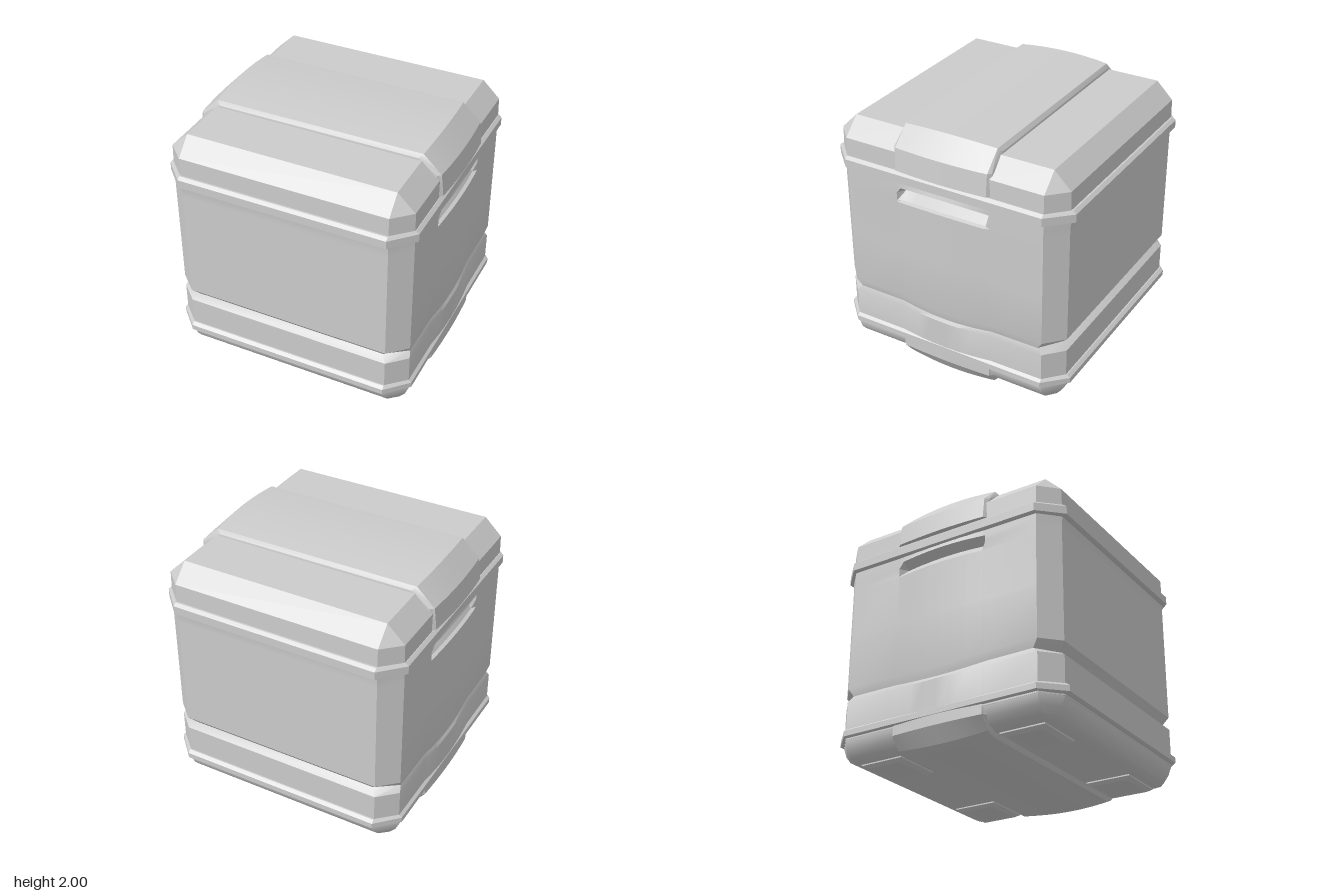
import * as THREE from 'three';
import { toCreasedNormals } from 'three/addons/utils/BufferGeometryUtils.js';

const grey = new THREE.MeshStandardMaterial({ color: 0xcccccc });
grey.name = 'grey plastic';

// Skin closed rings of equal length (counter-clockwise seen from the end of the loft), with both ends capped.
function loft(name, rings, crease = 0.5) {
  const pos = [];
  const v = rings.map(r => r.map(p => new THREE.Vector3(...p)));
  const tri = (a, b, c) => {
    const n = b.clone().sub(a).cross(c.clone().sub(a));
    if (n.length() > 1e-9) for (const p of [a, b, c]) pos.push(p.x, p.y, p.z);
  };
  const count = v[0].length;
  const centre = r => r.reduce((s, p) => s.add(p), new THREE.Vector3()).divideScalar(count);
  const first = v[0], last = v[v.length - 1];
  const c0 = centre(first), c1 = centre(last);
  for (let i = 0; i < count; i++) {
    const j = (i + 1) % count;
    for (let k = 0; k + 1 < v.length; k++) {
      tri(v[k][i], v[k][j], v[k + 1][j]);
      tri(v[k][i], v[k + 1][j], v[k + 1][i]);
    }
    tri(c0, first[j], first[i]);
    tri(c1, last[i], last[j]);
  }
  const g = new THREE.BufferGeometry();
  g.setAttribute('position', new THREE.Float32BufferAttribute(pos, 3));
  const mesh = new THREE.Mesh(toCreasedNormals(g, crease), grey);
  mesh.name = name;
  return mesh;
}

const swell = z => Math.max(0, 1 - (z / 0.4) ** 2);
const SIDE_Z = [0.385, 0.345, 0.23, 0.115, 0, -0.115, -0.23, -0.345, -0.385];

// Octagonal ring: half width a, half depth b, side bulge, handle dent, side arch and corner position.
function ring(y, a, b, { bulge = 0, dent = 0, arch = 0, corner = 0.81 } = {}) {
  const half = [[corner, y, b], [a, y, corner]];
  for (const z of SIDE_Z) {
    const inset = Math.abs(z) < 0.36 ? dent : 0;
    half.push([a + bulge * swell(z) - inset, y + arch * swell(z), z]);
  }
  half.push([a, y, -corner], [corner, y, -b]);
  return [...half, ...half.map(([x, h, z]) => [-x, h, -z])];
}

// Band running across the box: a profile in x and y, swollen towards the middle and bevelled at both edges.
function band(name, profile, drop, rise, sideSwell) {
  const stations = [[-0.405, 0.06], [-0.4, 0.025], [-0.375, 0]];
  for (let i = -3; i <= 3; i++) stations.push([i * 0.1, 0]);
  stations.push([0.375, 0], [0.4, 0.025], [0.405, 0.06]);
  return loft(name, stations.map(([z, inset]) => profile.map(([x, y, w]) => [
    x + Math.sign(x) * (sideSwell * swell(z) - inset),
    y + w * (rise * swell(z) + drop * inset), z])));
}

export function createModel() {
  const model = new THREE.Group();
  const b = 0.02;

  // Main tub with a groove near the foot and a hand recess in each side
  model.add(loft('tub', [
    ring(0.2, 0.95, 0.94, { bulge: b }),
    ring(0.5, 0.95, 0.94, { bulge: b, arch: -0.01 }),
    ring(0.54, 0.935, 0.89, { bulge: b, arch: -0.025, corner: 0.77 }),
    ring(0.6, 0.95, 0.94, { bulge: b, arch: -0.02 }),
    ring(1.0, 0.95, 0.94, { bulge: b }),
    ring(1.41, 0.95, 0.94, { bulge: b, arch: 0.01 }),
    ring(1.42, 0.95, 0.94, { bulge: b, dent: 0.025, arch: 0.01 }),
    ring(1.485, 0.95, 0.94, { bulge: b, dent: 0.07, arch: 0.013 }),
    ring(1.53, 0.95, 0.94, { bulge: b, arch: 0.015 }),
    ring(1.6, 0.95, 0.95),
  ]));

  // Raised rims around the bottom and under the lid
  const rim = (name, y0, y1, a, d) => loft(name, [
    ring(y0, a - 0.03, d - 0.03), ring(y0 + 0.012, a, d),
    ring(y1 - 0.02, a, d), ring(y1, a - 0.025, d - 0.025),
  ]);
  model.add(rim('bottomRim', 0.21, 0.285, 0.973, 0.975));
  model.add(rim('lidRim', 1.575, 1.67, 0.978, 0.982));

  // Lid with sloping edges
  model.add(loft('lid', [
    ring(1.62, 0.95, 0.945), ring(1.81, 0.945, 0.94), ring(1.94, 0.81, 0.81),
  ]));

  // Broad strap-like ridge over the lid
  model.add(band('lidRidge', [
    [0.97, 1.68, 0], [0.95, 1.85, 0], [0.81, 1.98, 1],
    [-0.81, 1.98, 1], [-0.95, 1.85, 0], [-0.97, 1.68, 0],
  ], -1, 0.02, 0.02));

  // Rounded base
  model.add(loft('base', [
    ring(0.05, 0.81, 0.81, { corner: 0.8 }), ring(0.08, 0.88, 0.87),
    ring(0.13, 0.925, 0.91), ring(0.19, 0.948, 0.935), ring(0.23, 0.95, 0.94),
  ], 0.65));

  // Broad ridge under the base
  model.add(band('baseRidge', [
    [-0.955, 0.215, 0], [-0.955, 0.14, 0], [-0.88, 0.05, 1], [-0.8, 0.025, 1],
    [0.8, 0.025, 1], [0.88, 0.05, 1], [0.955, 0.14, 0], [0.955, 0.215, 0],
  ], 1, -0.025, 0.015));

  // Four hollowed feet
  const rect = (cx, cz, y, w, d) => [[1, 1], [1, -1], [-1, -1], [-1, 1]]
    .map(([i, j]) => [cx + i * w, y, cz + j * d]);
  for (const sx of [-1, 1]) for (const sz of [-1, 1]) {
    const x = sx * 0.605, z = sz * 0.595;
    model.add(loft('foot', [
      rect(x, z, 0.035, 0.11, 0.09), rect(x, z, 0.02, 0.165, 0.145),
      rect(x, z, 0.04, 0.195, 0.18), rect(x, z, 0.06, 0.195, 0.18),
    ]));
  }
  return model;
}
